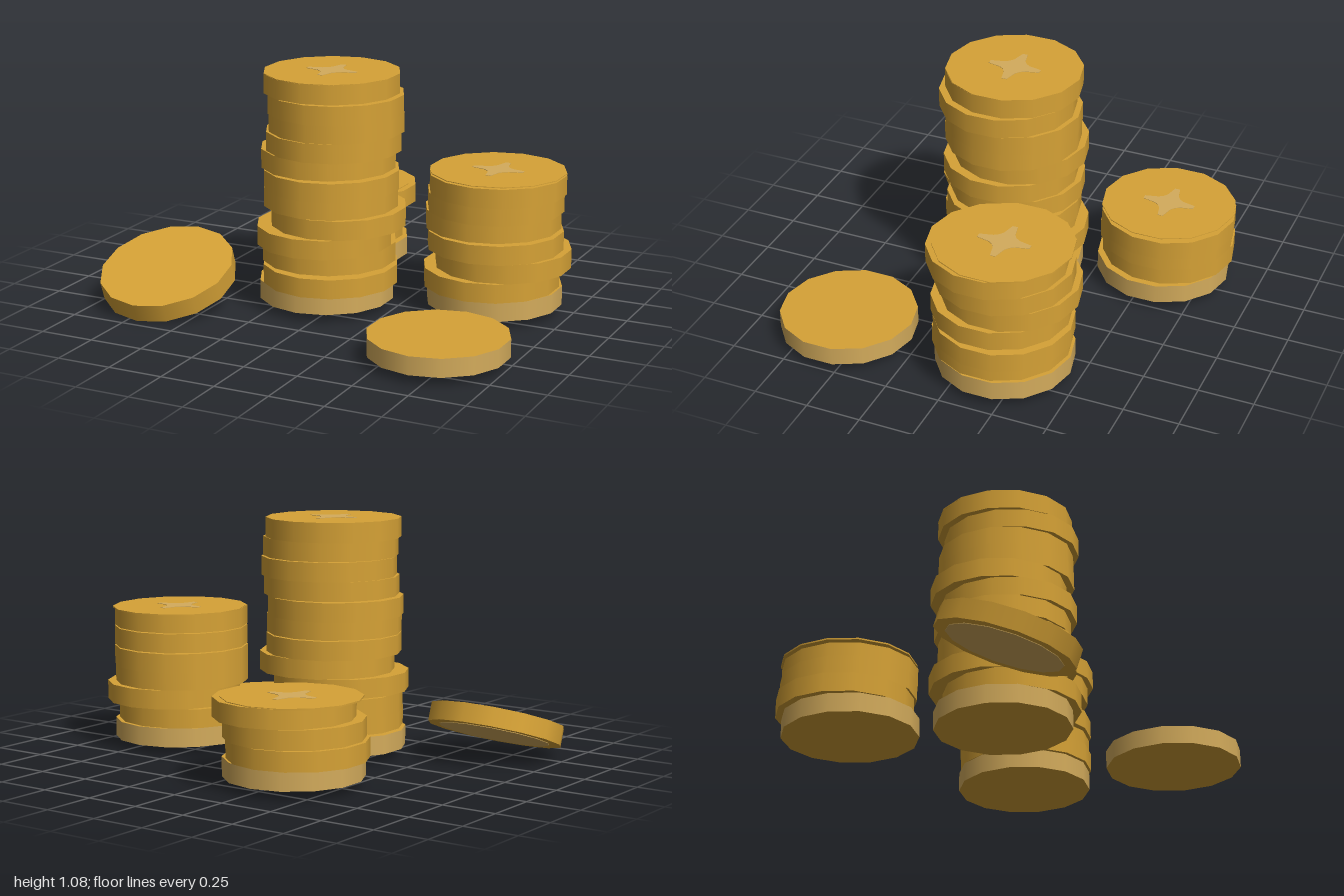
import * as THREE from 'three';

const R = 0.307, SIDES = 14, H = 0.0865, BASE = 0.04;

export function createModel() {
  const root = new THREE.Group();
  root.name = 'coinPiles';
  const gold = new THREE.MeshStandardMaterial({ color: 0xd6a236 });
  gold.name = 'gold';
  const pale = new THREE.MeshStandardMaterial({ color: 0xd4ac5c });
  pale.name = 'pale gold';

  // One coin standing on y, with its own rim colour
  function coin(name, x, y, z, height, rim) {
    const geo = new THREE.CylinderGeometry(R, R, height, SIDES);
    const mesh = new THREE.Mesh(geo, [rim, gold, gold]);
    mesh.name = name;
    mesh.position.set(x, y + height / 2, z);
    return mesh;
  }

  // Four-pointed emblem with blunt tips
  const star = new THREE.Shape();
  for (let i = 0; i < 4; i++) {
    const a = i * Math.PI / 2;
    const at = (u, v) => [u * Math.cos(a) - v * Math.sin(a), u * Math.sin(a) + v * Math.cos(a)];
    const points = [[0.12, -0.012], [0.12, 0.012], [0.06, 0.026], [0.04, 0.04], [0.026, 0.06]];
    points.forEach((p, k) => {
      if (i === 0 && k === 0) star.moveTo(...at(...p));
      else star.lineTo(...at(...p));
    });
  }
  const starGeo = new THREE.ExtrudeGeometry(star, { depth: 0.003, bevelEnabled: false });
  starGeo.rotateX(-Math.PI / 2);

  // Uneven stack: coins from the bottom up, then a thin top face with emblem
  function stack(name, centres, capX, capZ) {
    const group = new THREE.Group();
    group.name = name;
    centres.forEach(([x, z], i) =>
      group.add(coin('coin' + (i + 1), x, BASE + i * H, z, H, i === 0 ? pale : gold)));
    const top = BASE + centres.length * H;
    group.add(coin('topFace', capX, top - 0.004, capZ, 0.007, gold));
    const emblem = new THREE.Mesh(starGeo, pale);
    emblem.name = 'starEmblem';
    emblem.position.set(capX, top + 0.002, capZ);
    group.add(emblem);
    root.add(group);
  }

  stack('tallStack', [
    [-0.067, 0.09], [-0.035, 0.117], [-0.067, 0.065], [-0.067, 0.113],
    [-0.012, 0.079], [-0.05, 0.079], [-0.035, 0.103], [-0.067, 0.069],
    [-0.03, 0.09], [-0.02, 0.083], [-0.012, 0.107], [-0.04, 0.089],
  ], -0.04, 0.088);

  stack('middleStack', [
    [0.65, -0.16], [0.64, -0.145], [0.685, -0.173], [0.655, -0.15],
    [0.63, -0.183], [0.65, -0.16], [0.667, -0.138],
  ], 0.658, -0.163);

  stack('shortStack', [
    [-0.29, -0.555], [-0.32, -0.568], [-0.3, -0.564], [-0.26, -0.583],
  ], -0.291, -0.57);

  // Loose coin lying flat
  root.add(coin('looseCoin', 0.697, BASE, 0.578, 0.082, pale));

  // Loose coin tipped forward, with a pale disc on its underside
  const tipped = new THREE.Group();
  tipped.name = 'tippedCoin';
  tipped.add(coin('tippedCoinBody', 0, -H / 2, 0, H, gold));
  const disc = new THREE.Mesh(new THREE.CylinderGeometry(0.255, 0.255, 0.003, SIDES), pale);
  disc.name = 'undersideDisc';
  disc.position.y = -H / 2 - 0.001;
  tipped.add(disc);
  tipped.position.set(-0.7, 0.147, 0.43);
  tipped.rotation.x = THREE.MathUtils.degToRad(20);
  root.add(tipped);

  return root;
}
